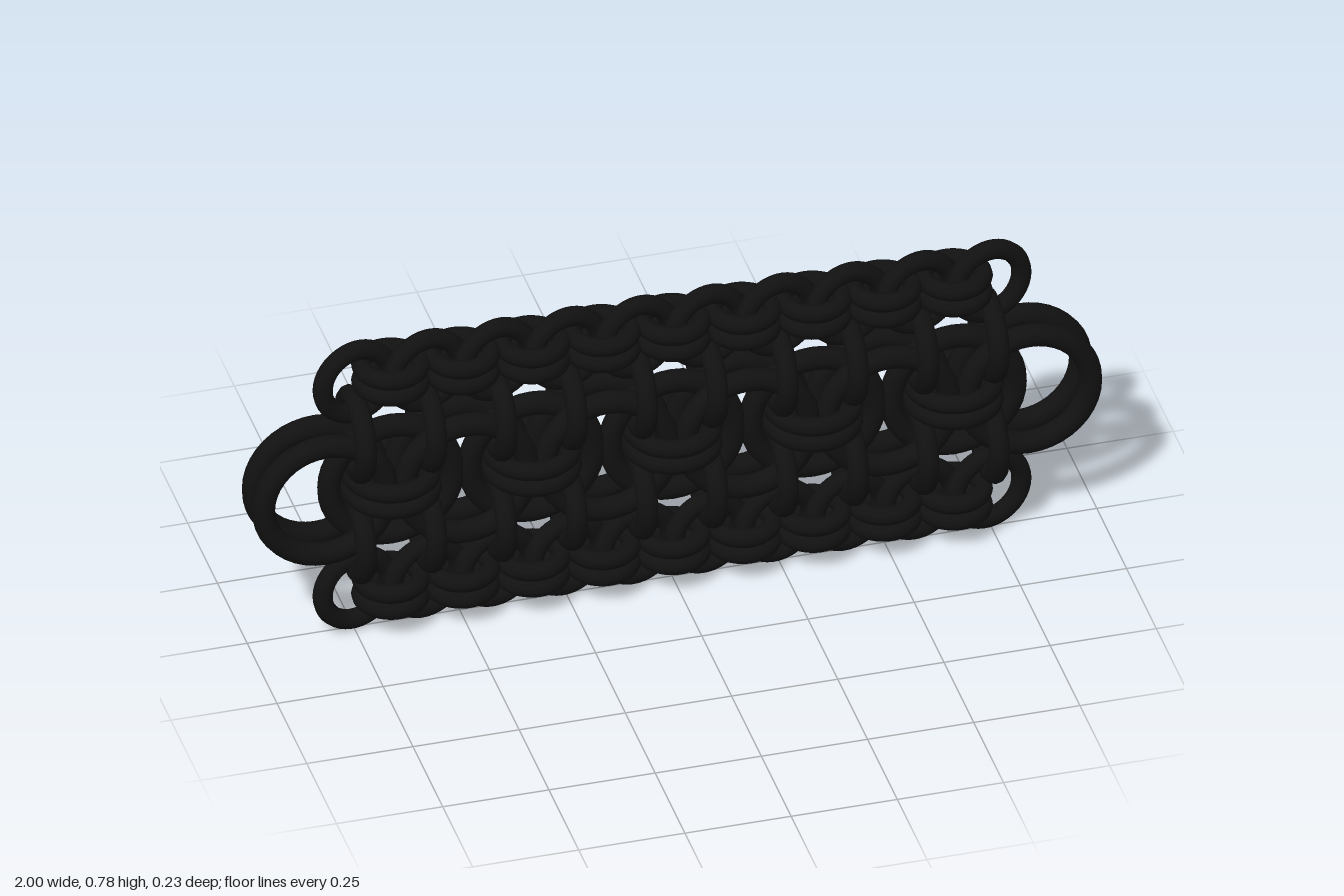
import * as THREE from 'three';

const MID = 0.393; // height of the horizontal symmetry line
const PITCH = 0.1655; // spacing of the columns of rings

export function createModel() {
  const model = new THREE.Group();
  model.name = 'ringWeave';
  const material = new THREE.MeshStandardMaterial({ color: 0x111111 });

  // Ring sizes: outer radius and wire radius
  const ring = (outer, wire) => new THREE.TorusGeometry(outer - wire, wire, 12, 40);
  const largeRing = ring(0.173, 0.027);
  const edgeRing = ring(0.107, 0.023);
  const edgeLink = ring(0.09, 0.022);
  const centreLink = ring(0.115, 0.022);
  const uprightLink = ring(0.115, 0.025);

  const add = (name, geometry, x, y, z, rx = 0, ry = 0) => {
    const mesh = new THREE.Mesh(geometry, material);
    mesh.name = name;
    mesh.position.set(x, y, z);
    mesh.rotation.set(rx, ry, 0);
    model.add(mesh);
  };
  // Two flat-lying rings stacked on each other
  const addPair = (name, geometry, x, y) => {
    for (const s of [-1, 1]) add(name, geometry, x, y + s * 0.022, 0, Math.PI / 2);
  };

  // Large centre rings: doubled chain, with single rings between the layers
  for (let i = 0; i < 6; i++) {
    const x = (i - 2.5) * 2 * PITCH;
    add('frontLargeRing', largeRing, x, MID, 0.042);
    add('backLargeRing', largeRing, x, MID, -0.042);
  }
  for (let i = -2; i <= 2; i++) {
    add('innerLargeRing', largeRing, i * 2 * PITCH, MID, 0);
    addPair('centreLink', centreLink, i * 2 * PITCH, MID);
  }

  // Upper and lower borders
  for (const side of [-1, 1]) {
    for (let i = 0; i < 10; i++) {
      const x = (i - 4.5) * PITCH;
      // Overlapping edge rings, tilted like scales
      add('edgeRing', edgeRing, x, MID + side * 0.283, 0, 0, 0.2);
      // Upright rings joining the border to the centre chain
      add('uprightLink', uprightLink, x, MID + side * 0.138, 0, 0, Math.PI / 2);
    }
    for (let i = -4; i <= 4; i++) addPair('edgeLink', edgeLink, i * PITCH, MID + side * 0.293);
  }
  return model;
}
